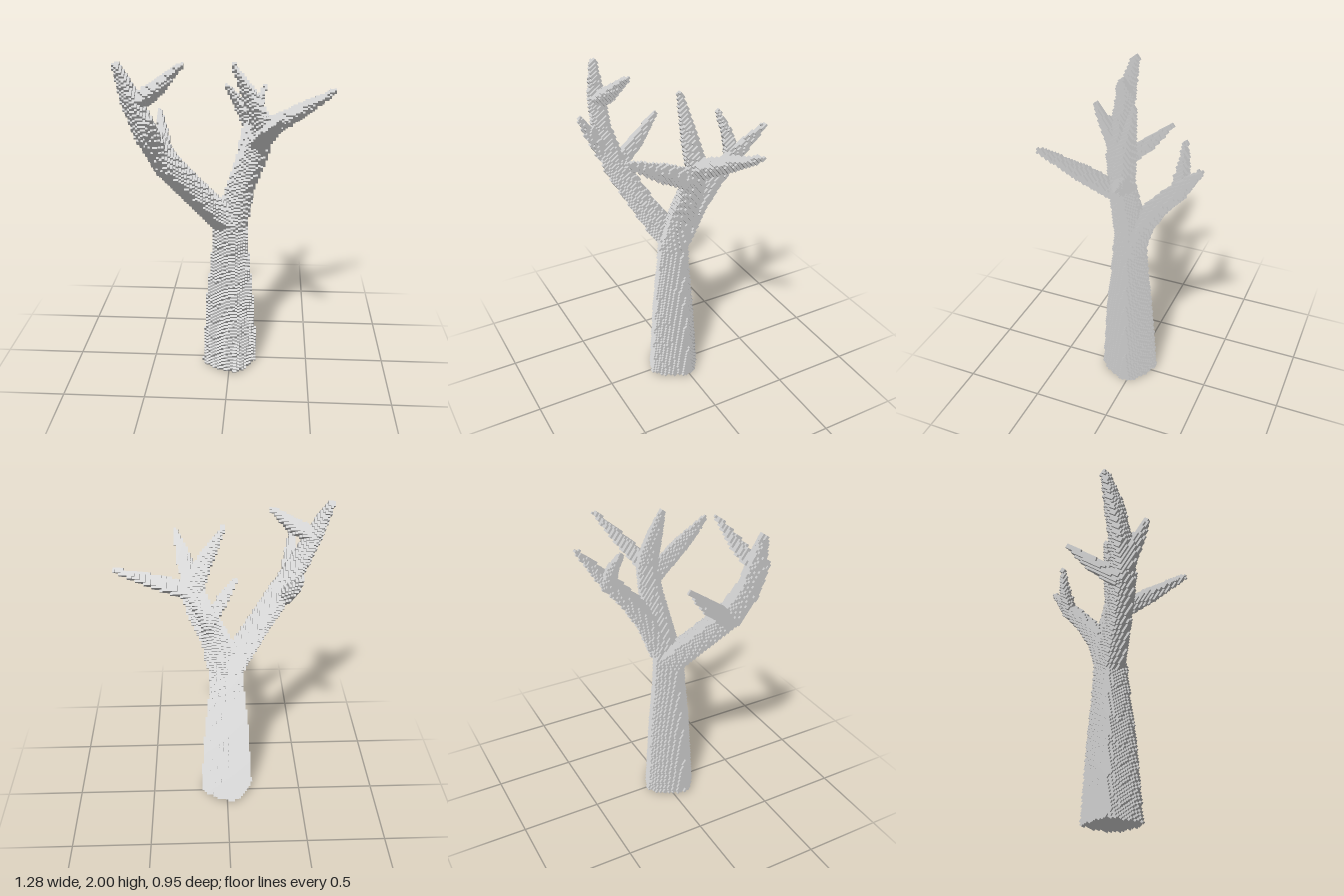
import * as THREE from 'three';

const S = 0.0145; // edge of one small cube
const TILT = THREE.MathUtils.degToRad(36); // the grid of cubes leans about x
const X_AXIS = new THREE.Vector3(1, 0, 0);
const P = 1.32; // roundness of the square cross-section (1 = sharp diamond, 2 = circle)
const CORNER = new THREE.Vector3(0.97, 0, -0.24); // direction of a trunk corner

// Each limb is a tapered path of [x, y, z, radius]
const PARTS = {
  trunk: [
    [[0, -0.1, 0.04, 0.188], [0, 0.5, 0.04, 0.148], [0, 0.8, 0.038, 0.117], [0, 1.0, 0.035, 0.103]],
  ],
  rightLimb: [
    [[-0.02, 0.98, 0.04, 0.09], [-0.18, 1.19, 0.155, 0.082], [-0.34, 1.4, 0.255, 0.08],
      [-0.46, 1.6, 0.285, 0.07], [-0.545, 1.8, 0.275, 0.056], [-0.618, 1.972, 0.25, 0.027]],
  ],
  rightTwigs: [
    [[-0.53, 1.76, 0.28, 0.052], [-0.4, 1.85, 0.24, 0.047], [-0.265, 1.97, 0.19, 0.015]],
    [[-0.37, 1.38, 0.24, 0.057], [-0.4, 1.51, 0.08, 0.047], [-0.43, 1.65, -0.065, 0.016]],
    [[-0.39, 1.45, 0.28, 0.062], [-0.41, 1.6, 0.37, 0.044], [-0.415, 1.72, 0.44, 0.017]],
  ],
  leftLimb: [
    [[0.01, 0.98, 0.035, 0.1], [0.06, 1.2, 0.005, 0.088], [0.15, 1.4, -0.01, 0.08],
      [0.2, 1.56, -0.01, 0.07], [0.13, 1.73, 0, 0.053], [0.015, 1.945, 0, 0.017]],
  ],
  leftTwigs: [
    [[0.2, 1.55, -0.01, 0.06], [0.42, 1.66, -0.085, 0.044], [0.625, 1.765, -0.155, 0.016]],
    [[0.17, 1.47, 0, 0.06], [0.24, 1.61, 0.24, 0.053], [0.3, 1.73, 0.452, 0.018]],
  ],
  backLimb: [
    [[0.04, 1.03, 0.01, 0.085], [0.075, 1.24, -0.07, 0.078], [0.1, 1.4, -0.185, 0.06],
      [0.115, 1.53, -0.3, 0.052], [0.197, 1.73, -0.458, 0.016]],
    [[0.115, 1.51, -0.3, 0.05], [0.04, 1.64, -0.31, 0.038], [-0.042, 1.762, -0.288, 0.015]],
  ],
};

const toGrid = (x, y, z) => new THREE.Vector3(x, y, z).applyAxisAngle(X_AXIS, -TILT);

// Tapered segments, in the grid's frame, with axes for the squarish cross-section
function makeSegments(paths) {
  const corner = toGrid(...CORNER.toArray());
  const out = [];
  for (const path of paths) {
    for (let i = 0; i + 1 < path.length; i++) {
      const [x0, y0, z0, r0] = path[i];
      const [x1, y1, z1, r1] = path[i + 1];
      const a = toGrid(x0, y0, z0);
      const b = toGrid(x1, y1, z1);
      const dir = b.clone().sub(a).normalize();
      const u = corner.clone().addScaledVector(dir, -corner.dot(dir)).normalize();
      out.push({ a, b, dir, len: a.distanceTo(b), u, v: dir.clone().cross(u), r0, r1 });
    }
  }
  return out;
}

// Relative distance from a segment's axis: below 1 is inside
const q = new THREE.Vector3();
function relativeDistance(s, p) {
  q.subVectors(p, s.a);
  const along = q.dot(s.dir);
  const t = THREE.MathUtils.clamp(along, 0, s.len);
  const r = s.r0 + (s.r1 - s.r0) * t / s.len;
  const d = Math.abs(q.dot(s.u)) ** P + Math.abs(q.dot(s.v)) ** P + Math.abs(along - t) ** P;
  return d ** (1 / P) / r;
}

// Six cube faces: outward normal and two edges with e1 x e2 = normal
const FACES = [];
for (let k = 0; k < 3; k++) {
  for (const sign of [1, -1]) {
    const axis = (i, m = 1) => [0, 1, 2].map((j) => (j === i % 3 ? m : 0));
    FACES.push({ n: axis(k, sign), e1: axis(k + 1, sign), e2: axis(k + 2) });
  }
}

export function createModel() {
  const group = new THREE.Group();
  group.name = 'tree';
  const names = Object.keys(PARTS);
  const segments = names.map((name) => makeSegments(PARTS[name]));

  // Grid large enough for every segment
  const bounds = new THREE.Box3();
  for (const s of segments.flat()) bounds.expandByPoint(s.a).expandByPoint(s.b);
  bounds.expandByScalar(0.2);
  const origin = bounds.min;
  const [NX, NY, NZ] = bounds.getSize(new THREE.Vector3()).toArray().map((d) => Math.ceil(d / S));
  const owner = new Uint8Array(NX * NY * NZ); // 0 = empty, else part number
  const best = new Float32Array(NX * NY * NZ).fill(1);
  const id = (i, j, k) => (j * NZ + k) * NX + i;
  const p = new THREE.Vector3();
  const centre = (i, j, k) => p.set(i + 0.5, j + 0.5, k + 0.5).multiplyScalar(S).add(origin);

  // Fill the cubes around each segment above the ground, nearest part wins
  const up = toGrid(0, 1, 0);
  const ground = S / 2 * (Math.cos(TILT) + Math.sin(TILT));
  segments.forEach((list, part) => {
    for (const s of list) {
      const box = new THREE.Box3().setFromPoints([s.a, s.b]).expandByScalar(Math.max(s.r0, s.r1));
      const [i0, j0, k0] = box.min.sub(origin).divideScalar(S).floor().toArray();
      const [i1, j1, k1] = box.max.sub(origin).divideScalar(S).floor().toArray();
      for (let j = j0; j <= j1; j++) for (let k = k0; k <= k1; k++) for (let i = i0; i <= i1; i++) {
        if (centre(i, j, k).dot(up) < ground) continue;
        const d = relativeDistance(s, p);
        const c = id(i, j, k);
        if (d < best[c]) {
          best[c] = d;
          owner[c] = part + 1;
        }
      }
    }
  });

  // Emit only the exposed cube faces, one mesh per part
  const buffers = names.map(() => ({ position: [], normal: [], index: [] }));
  for (let j = 0; j < NY; j++) for (let k = 0; k < NZ; k++) for (let i = 0; i < NX; i++) {
    if (!owner[id(i, j, k)]) continue;
    const b = buffers[owner[id(i, j, k)] - 1];
    const c = centre(i, j, k).toArray();
    for (const { n, e1, e2 } of FACES) {
      if (owner[id(i + n[0], j + n[1], k + n[2])]) continue;
      const first = b.position.length / 3;
      for (const [x, y] of [[-1, -1], [1, -1], [1, 1], [-1, 1]]) {
        for (let m = 0; m < 3; m++) b.position.push(c[m] + (n[m] + x * e1[m] + y * e2[m]) * S / 2);
        b.normal.push(...n);
      }
      b.index.push(first, first + 1, first + 2, first, first + 2, first + 3);
    }
  }

  const material = new THREE.MeshStandardMaterial({ color: 0xcccccc });
  buffers.forEach((b, part) => {
    const geometry = new THREE.BufferGeometry();
    geometry.setAttribute('position', new THREE.Float32BufferAttribute(b.position, 3));
    geometry.setAttribute('normal', new THREE.Float32BufferAttribute(b.normal, 3));
    geometry.setIndex(b.index);
    geometry.rotateX(TILT);
    const mesh = new THREE.Mesh(geometry, material);
    mesh.name = names[part];
    group.add(mesh);
  });
  return group;
}
